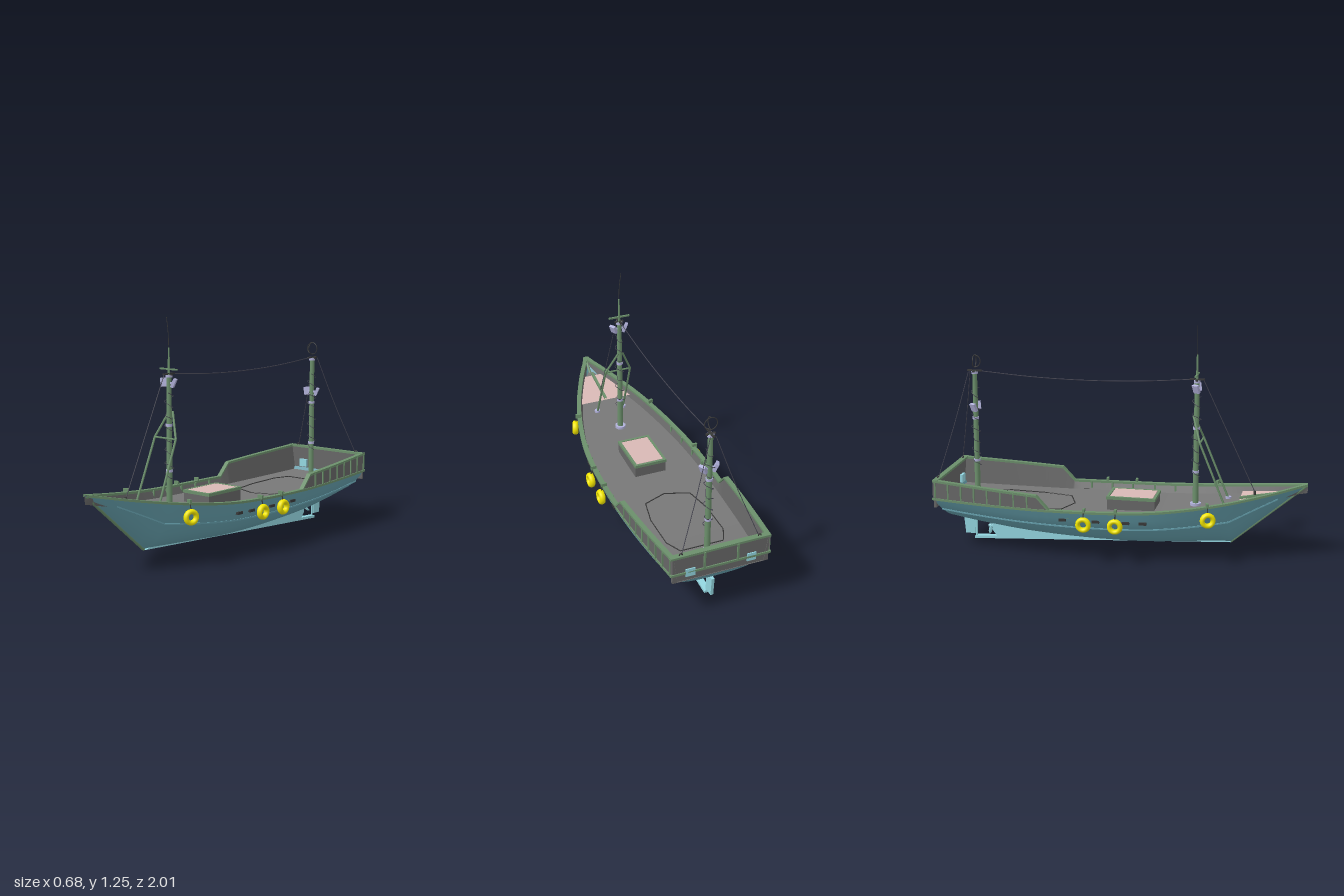
import * as THREE from 'three';

const mat = (color, side = THREE.FrontSide) => new THREE.MeshStandardMaterial({ color, side });
const V = (x, y, z) => new THREE.Vector3(x, y, z);
const { clamp, lerp, smoothstep } = THREE.MathUtils;

// Hull lines: z, half width, sheer height
const LINES = [[1, 0.004, 0.42], [0.9, 0.06, 0.4], [0.8, 0.11, 0.38], [0.6, 0.193, 0.345], [0.4, 0.25, 0.317],
  [0.2, 0.288, 0.298], [0, 0.305, 0.29], [-0.2, 0.31, 0.286], [-0.4, 0.306, 0.285], [-0.6, 0.297, 0.288],
  [-0.8, 0.283, 0.293], [-1, 0.265, 0.3]];
// Cross-sections from keel to sheer: full midship and sharp bow
const FULL = [[0, 0], [0.3, 0.02], [0.5, 0.08], [0.63, 0.17], [0.74, 0.3], [0.86, 0.53], [0.94, 0.78], [1, 1]];
const SHARP = [[0, 0], [0.12, 0.08], [0.26, 0.18], [0.4, 0.3], [0.54, 0.44], [0.7, 0.62], [0.86, 0.82], [1, 1]];

function line(col, z) {
  let i = 0;
  while (i < LINES.length - 2 && z < LINES[i + 1][0]) i++;
  const P = (k) => LINES[clamp(k, 0, LINES.length - 1)];
  const a = P(i), b = P(i + 1), h = b[0] - a[0], t = (z - a[0]) / h;
  const slope = (k) => (P(k + 1)[col] - P(k - 1)[col]) / (P(k + 1)[0] - P(k - 1)[0]) * h;
  const d = b[col] - a[col], m0 = slope(i), m1 = slope(i + 1);
  return a[col] + t * m0 + t * t * (3 * d - 2 * m0 - m1) + t * t * t * (m0 + m1 - 2 * d);
}
const halfWidth = (z) => line(1, z);
const sheer = (z) => line(2, z);
const bottom = (z) => Math.max(0.08 + (z - 0.6) * 0.845, 0.08 + 0.085 * (Math.max(0, 0.1 - z) / 1.1) ** 2);
const deckY = (z) => sheer(z) - 0.045;
const topY = (z) => z >= -0.34 ? sheer(z)
  : z > -0.41 ? lerp(sheer(z), 0.36, (-0.34 - z) / 0.07) : lerp(0.36, 0.4, (-0.41 - z) / 0.59);
const inner = (z, gap) => Math.max(0.001, halfWidth(z) - gap);

function hullPoint(z, j, s) {
  const k = smoothstep(z, 0.1, 1), f = FULL[j], g = SHARP[j];
  const v = lerp(f[1], g[1], k), yb = Math.min(bottom(z), sheer(z) - 0.002);
  const rake = 0.08 * (1 - v) * clamp((-z - 0.5) / 0.5, 0, 1);
  return V(s * halfWidth(z) * lerp(f[0], g[0], k), lerp(yb, sheer(z), v), z + rake);
}

const STATIONS = [-0.34, -0.41];
for (let i = 0; i <= 40; i++) STATIONS.push(1 - i * 0.05);
STATIONS.sort((a, b) => b - a);
const STERN = STATIONS.filter((z) => z <= -0.34);

// Surface through rows of points
function loft(rows) {
  const n = rows[0].length, idx = [];
  for (let i = 0; i < rows.length - 1; i++) for (let j = 0; j < n - 1; j++) {
    const a = i * n + j, b = a + n;
    idx.push(a, b, a + 1, b, b + 1, a + 1);
  }
  const g = new THREE.BufferGeometry().setFromPoints(rows.flat());
  g.setIndex(idx);
  g.computeVertexNormals();
  return g;
}
// Square-edged strip along a list of points
function strip(pts, w, h) {
  const rows = pts.map((p) => [[-w, -h], [w, -h], [w, h], [-w, h], [-w, -h]].map(([x, y]) => V(p.x + x / 2, p.y + y / 2, p.z)));
  const g = loft(rows).toNonIndexed();
  g.computeVertexNormals();
  return g;
}
const tube = (pts, r, seg = 24, sides = 6) => new THREE.TubeGeometry(
  pts.length === 2 ? new THREE.LineCurve3(...pts) : new THREE.CatmullRomCurve3(pts), pts.length === 2 ? 1 : seg, r, sides);

export function createModel() {
  const root = new THREE.Group();
  const D = THREE.DoubleSide;
  const M = { hull: mat(0x659fac, D), keel: mat(0x93d6e0, D), green: mat(0x6b8f6b, D), deck: mat(0x777777, D), wall: mat(0x666666, D),
    pink: mat(0xd8b8b5, D), yellow: mat(0xf2e600), lamp: mat(0xb0b0d8), dark: mat(0x383838), wire: mat(0x444450) };
  const add = (name, geo, m, x = 0, y = 0, z = 0, parent = root) => {
    const o = new THREE.Mesh(geo, m);
    o.name = name;
    o.position.set(x, y, z);
    parent.add(o);
    return o;
  };
  const box = (name, w, h, d, m, x, y, z, parent) => add(name, new THREE.BoxGeometry(w, h, d), m, x, y, z, parent);
  const cyl = (name, r0, r1, h, m, x, y, z, parent) => add(name, new THREE.CylinderGeometry(r0, r1, h, 16), m, x, y, z, parent);

  // Hull sides, bulwarks and rails
  const js = FULL.map((_, j) => j);
  for (const s of [-1, 1]) {
    const order = s > 0 ? js : [...js].reverse();
    add('hullSide', loft(STATIONS.map((z) => order.map((j) => hullPoint(z, j, s)))), M.hull);
    const flip = (a) => s > 0 ? a : a.reverse();
    add('innerBulwark', loft(STATIONS.map((z) => flip([V(s * inner(z, 0.01), topY(z), z), V(s * inner(z, 0.032), deckY(z), z)]))), M.wall);
    add('sternBulwark', loft(STERN.map((z) => flip([V(s * halfWidth(z), sheer(z), z), V(s * halfWidth(z), topY(z), z)]))), M.wall);
    add('capRail', strip(STATIONS.map((z) => V(s * inner(z, 0.009), topY(z), z)), 0.026, 0.012), M.green);
    add('sheerRail', strip(STERN.map((z) => V(s * halfWidth(z), sheer(z), z)), 0.012, 0.012), M.green);
    add('rubbingStrake', strip(STATIONS.filter((z) => z < 0.9).map((z) => hullPoint(z, 5, s)), 0.012, 0.008), M.hull);
    for (let z = -0.46; z > -1; z -= 0.075)
      box('bulwarkStanchion', 0.008, topY(z) - sheer(z), 0.008, M.green, s * (halfWidth(z) + 0.002), (topY(z) + sheer(z)) / 2, z);
    for (const z of [0.16, 0.07, -0.09, -0.27])
      box('scupper', 0.02, 0.014, 0.04, M.dark, s * halfWidth(z) * 0.93, 0.236, z);
    for (const z of [0.25, 0.13, 0, -0.12, -0.24])
      box('railBracket', 0.012, 0.04, 0.01, M.green, s * (halfWidth(z) - 0.022), sheer(z) - 0.02, z);
    box('sternPort', 0.05, 0.045, 0.036, M.keel, s * 0.165, 0.3, -0.985);
    box('sternPost', 0.01, 0.1, 0.01, M.green, s * 0.09, 0.35, -1);
  }
  add('transom', loft(js.map((j) => [hullPoint(-1, j, -1), hullPoint(-1, j, 1)])), M.hull);
  box('sternWall', 0.52, 0.15, 0.014, M.wall, 0, 0.325, -0.99);
  box('sternCapRail', 0.54, 0.012, 0.03, M.green, 0, 0.4, -0.985);
  box('sternSheerRail', 0.54, 0.012, 0.01, M.green, 0, 0.3, -0.998);
  add('stem', tube([V(0, 0.415, 0.993), V(0, 0.078, 0.595)], 0.009), M.green);

  // Deck, foredeck and hatches
  const across = (z, gap, dy) => [V(inner(z, gap), deckY(z) + dy, z), V(-inner(z, gap), deckY(z) + dy, z)];
  add('deck', loft(STATIONS.filter((z) => z < 0.97).map((z) => across(z, 0.032, 0))), M.deck);
  add('foredeck', loft([0.87, 0.8, 0.72, 0.64].map((z) => across(z, 0.026, 0.015))), M.pink);
  add('foredeckBeam', strip([0.88, 0.76, 0.64].map((z) => V(0, deckY(z) + 0.02, z)), 0.014, 0.016), M.green);
  cyl('bowPost', 0.006, 0.006, 0.05, M.dark, 0, 0.345, 0.72);
  box('hatchCoaming', 0.18, 0.07, 0.26, M.wall, 0, 0.275, 0.06);
  box('hatchCover', 0.155, 0.012, 0.235, M.pink, 0, 0.311, 0.06);
  for (const s of [-1, 1]) {
    box('hatchTrim', 0.014, 0.016, 0.27, M.green, s * 0.085, 0.31, 0.06);
    box('hatchTrim', 0.184, 0.016, 0.014, M.green, 0, 0.31, 0.06 + s * 0.128);
  }
  const outline = [[-0.12, -0.77], [0.12, -0.77], [0.16, -0.68], [0.16, -0.47], [0.13, -0.32], [0, -0.27], [-0.13, -0.32], [-0.16, -0.47], [-0.16, -0.68]];
  outline.forEach(([x, z], i) => {
    const [u, w] = outline[(i + 1) % outline.length];
    add('deckHatchOutline', tube([V(x, deckY(z) + 0.002, z), V(u, deckY(w) + 0.002, w)], 0.003), M.dark);
  });

  // Keel, rudder and propeller
  const plate = (name, pts, t) => {
    const g = new THREE.ExtrudeGeometry(new THREE.Shape(pts.map(([z, y]) => new THREE.Vector2(z, y))), { depth: t, bevelEnabled: false });
    return add(name, g.translate(0, 0, -t / 2).rotateY(-Math.PI / 2), M.keel);
  };
  plate('keel', [[0.6, 0.078], [-0.85, 0.004], [-0.85, 0.018], [-0.72, 0.026], [-0.745, 0.06], [-0.745, 0.1], [-0.72, 0.14], [-0.4, 0.11], [0, 0.09], [0.55, 0.09]], 0.034);
  plate('rudder', [[-0.842, 0.14], [-0.915, 0.14], [-0.905, 0.03], [-0.85, 0.03]], 0.016);
  cyl('rudderStock', 0.006, 0.006, 0.17, M.keel, 0, 0.095, -0.843);
  const prop = new THREE.Group();
  prop.name = 'propeller';
  prop.position.set(0, 0.08, -0.757);
  root.add(prop);
  cyl('propellerHub', 0.008, 0.011, 0.03, M.keel, 0, 0, 0, prop).rotation.x = -Math.PI / 2;
  for (let i = 0; i < 3; i++) {
    const arm = new THREE.Group();
    arm.rotation.z = i * Math.PI * 2 / 3 + 0.3;
    prop.add(arm);
    const blade = add('propellerBlade', new THREE.SphereGeometry(1, 12, 8), M.keel, 0, 0.027, 0, arm);
    blade.scale.set(0.013, 0.022, 0.003);
    blade.rotation.y = 0.6;
  }

  // Masts with lamps, bands and coiled cable
  const mast = (name, z, lampY) => {
    const g = new THREE.Group(), base = deckY(z);
    g.name = name;
    g.position.z = z;
    root.add(g);
    cyl('mastPole', 0.013, 0.016, 0.965 - base, M.green, 0, (0.965 + base) / 2, 0, g);
    cyl('mastFoot', 0.03, 0.03, 0.014, M.lamp, 0, base + 0.007, 0, g);
    for (const y of [0.46, 0.7, 0.955]) cyl('mastBand', 0.018, 0.018, 0.014, M.lamp, 0, y, 0, g);
    box('mastHeadBar', 0.05, 0.008, 0.012, M.dark, 0, 0.962, 0, g);
    box('mastHeadBar', 0.012, 0.008, 0.08, M.dark, 0, 0.966, 0, g);
    box('lampBracket', 0.06, 0.01, 0.012, M.lamp, 0, lampY, 0, g);
    for (const s of [-1, 1]) {
      const lamp = box('floodlight', 0.016, 0.046, 0.036, M.lamp, s * 0.034, lampY, 0, g);
      lamp.rotation.set(0, s * 0.5, -s * 0.4);
    }
    const coil = [];
    for (let i = 0; i <= 60; i++) {
      const a = i * 0.75, r = 0.02 + 0.007 * Math.sin(i * 1.9);
      coil.push(V(r * Math.cos(a), 0.42 + i * 0.0075, r * Math.sin(a)));
    }
    add('coiledCable', tube(coil, 0.0018, 180, 4), M.wire, 0, 0, 0, g);
    return g;
  };
  const fore = mast('foreMast', 0.4, 0.92), aft = mast('aftMast', -0.83, 0.765);
  cyl('topPole', 0.004, 0.007, 0.14, M.green, 0, 1.03, 0, fore);
  box('crossBar', 0.12, 0.008, 0.01, M.green, 0, 0.99, 0, fore);
  add('antenna', tube([V(0, 1.09, 0), V(-0.003, 1.17, 0), V(-0.014, 1.255, 0)], 0.0018), M.dark, 0, 0, 0, fore);
  add('ringAerial', new THREE.TorusGeometry(0.034, 0.0025, 6, 32), M.dark, 0, 1.018, 0, aft);
  add('halfRingAerial', new THREE.TorusGeometry(0.034, 0.0025, 6, 16, Math.PI), M.dark, 0, 1.018, 0, aft).rotation.set(0, Math.PI / 2, Math.PI / 2, 'YXZ');

  // Braces and rigging
  for (const s of [-1, 1]) {
    const foot = V(s * 0.08, deckY(0.57), 0.57), knee = V(s * 0.074, 0.635, 0.43), head = V(s * 0.012, 0.77, 0.385);
    add('mastBrace', tube([foot, knee], 0.006, 1, 8), M.green);
    add('mastBrace', tube([knee, head], 0.006, 1, 8), M.green);
    cyl('braceFoot', 0.016, 0.016, 0.012, M.lamp, foot.x, foot.y + 0.006, foot.z);
    add('backStay', tube([V(s * 0.015, 0.962, -0.86), V(s * 0.1, 0.7, -0.915), V(s * 0.21, 0.4, -0.985)], 0.002), M.wire);
    add('stayEye', new THREE.TorusGeometry(0.008, 0.003, 6, 12), M.dark, s * 0.212, 0.408, -0.985);
  }
  add('braceCrossBar', tube([V(-0.076, 0.635, 0.43), V(0.076, 0.635, 0.43)], 0.005), M.green);
  add('foreStay', tube([V(0, 0.965, 0.435), V(0, 0.365, 0.72)], 0.0022), M.wire);
  add('mastheadLine', tube([V(0, 0.967, 0.4), V(0, 0.943, 0.08), V(0, 0.936, -0.2), V(0, 0.943, -0.5), V(0, 0.967, -0.83)], 0.0025, 40), M.wire);

  // Tyre fenders hung from the rail
  for (const s of [-1, 1]) for (const [z, y, x, yaw] of [[0.5, 0.265, 0.242, 0.35], [0.02, 0.225, 0.32, 0], [-0.15, 0.225, 0.322, 0]]) {
    const f = new THREE.Group();
    f.name = 'fender';
    f.position.set(s * x, y, z);
    f.rotation.y = -s * yaw;
    root.add(f);
    const tyre = add('tyre', new THREE.TorusGeometry(0.029, 0.013, 12, 32), M.yellow, 0, 0, 0, f);
    tyre.rotation.y = Math.PI / 2;
    tyre.scale.z = 1.3;
    const up = sheer(z) - y;
    add('fenderRope', tube([V(0, 0.028, 0), V(-s * 0.012, up + 0.01, 0)], 0.003), M.dark, 0, 0, 0, f);
    box('fenderCleat', 0.03, 0.022, 0.012, M.green, -s * 0.018, up + 0.012, 0, f);
  }
  return root;
}
